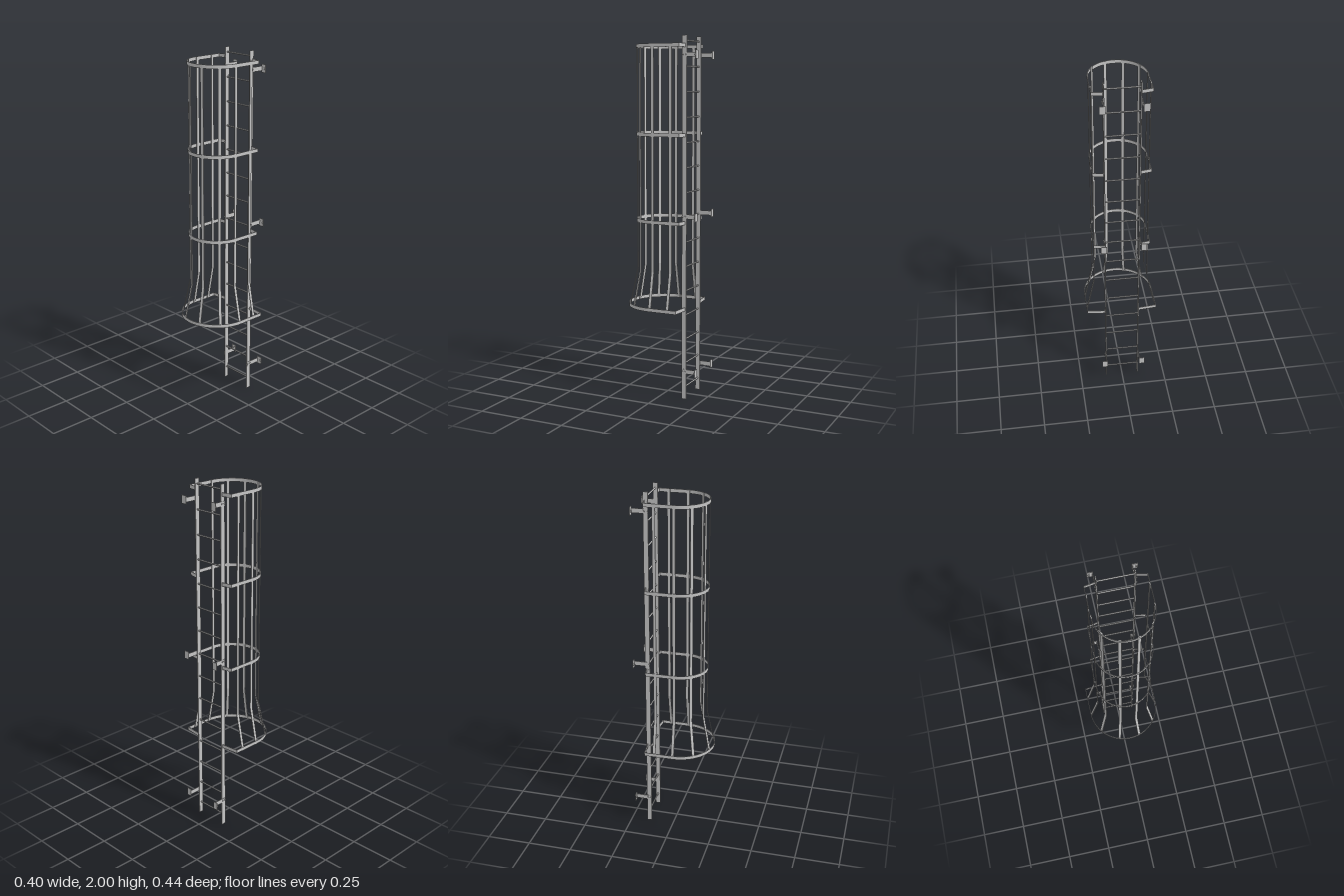
import * as THREE from 'three';

const steel = new THREE.MeshStandardMaterial({ color: 0xc4c4c4 });
steel.name = 'galvanised steel';

const CENTRE_Z = 0.0215; // centre of the hoop arcs
const STRIP = 0.003;     // hoop strip thickness

function add(parent, name, geometry, x = 0, y = 0, z = 0) {
  const mesh = new THREE.Mesh(geometry, steel);
  mesh.name = name;
  mesh.position.set(x, y, z);
  parent.add(mesh);
  return mesh;
}

// U-shaped flat strip whose ends turn in to the rails
function hoopGeometry(radius, height) {
  const contour = (r, cornerZ, endZ) => {
    const pts = [[0.098, endZ], [r, cornerZ]];
    for (let i = 0; i <= 36; i++) {
      const a = (i / 36) * Math.PI;
      pts.push([r * Math.cos(a), CENTRE_Z + r * Math.sin(a)]);
    }
    pts.push([-r, cornerZ], [-0.098, endZ]);
    return pts.map(([x, z]) => new THREE.Vector2(x, z));
  };
  const outer = contour(radius, -0.14, -0.15);
  const inner = contour(radius - STRIP, -0.137, -0.147).reverse();
  const geo = new THREE.ExtrudeGeometry(new THREE.Shape([...outer, ...inner]), { depth: height, bevelEnabled: false });
  geo.rotateX(Math.PI / 2);
  geo.translate(0, height / 2, 0);
  return geo;
}

// Vertical flat bar, flared outwards at its foot
function barGeometry() {
  const width = 0.017, t = 0.004;
  const edge = [[0.196, 0.505], [0.153, 0.715], [0.153, 1.957]];
  const pts = [...edge, ...edge.map(([r, y]) => [r - t, y]).reverse()];
  const shape = new THREE.Shape(pts.map(([r, y]) => new THREE.Vector2(r, y)));
  const geo = new THREE.ExtrudeGeometry(shape, { depth: width, bevelEnabled: false });
  geo.translate(0, 0, -width / 2);
  return geo;
}

export function createModel() {
  const model = new THREE.Group();
  model.name = 'caged ladder';

  // Ladder: two flat rails and round rungs
  const ladder = new THREE.Group();
  ladder.name = 'ladder';
  model.add(ladder);
  for (const s of [-1, 1]) add(ladder, 'rail', new THREE.BoxGeometry(0.006, 2, 0.027), s * 0.0945, 1, -0.1435);
  const rung = new THREE.CylinderGeometry(0.0045, 0.0045, 0.195, 12).rotateZ(Math.PI / 2);
  for (let i = 0; i < 15; i++) add(ladder, 'rung', rung, 0, 0.068 + i * 0.136, -0.1435);

  // Safety cage: hoops, bars and hoop bolts
  const cage = new THREE.Group();
  cage.name = 'cage';
  model.add(cage);
  const sideBolt = new THREE.CylinderGeometry(0.004, 0.004, 0.005, 6).rotateZ(Math.PI / 2);
  [[0.513, 0.2], [0.993, 0.156], [1.47, 0.156], [1.947, 0.156]].forEach(([y, r]) => {
    add(cage, 'hoop', hoopGeometry(r, 0.02), 0, y, 0);
    for (const s of [-1, 1]) add(cage, 'hoopBolt', sideBolt, s * 0.1, y, -0.135);
  });
  const bar = barGeometry();
  for (let i = 0; i <= 5; i++) add(cage, 'cageBar', bar, 0, 0, CENTRE_Z).rotation.y = -i * Math.PI / 5;
  for (const a of [0, Math.PI]) add(cage, 'sideCageBar', bar, 0, 0, -0.0855).rotation.y = a;

  // Wall brackets: arm, plate and bolts on both rails
  const wallBolt = new THREE.CylinderGeometry(0.006, 0.006, 0.005, 6).rotateX(Math.PI / 2);
  for (const y of [0.159, 1.028, 1.898]) {
    for (const s of [-1, 1]) {
      const bracket = new THREE.Group();
      bracket.name = 'wallBracket';
      bracket.position.y = y;
      model.add(bracket);
      add(bracket, 'bracketArm', new THREE.BoxGeometry(0.004, 0.025, 0.09), s * 0.0975, 0, -0.1755);
      add(bracket, 'wallPlate', new THREE.BoxGeometry(0.032, 0.045, 0.004), s * 0.11, 0, -0.2205);
      add(bracket, 'wallBolt', wallBolt, s * 0.118, 0, -0.2165);
      for (const z of [-0.135, -0.151]) add(bracket, 'railBolt', sideBolt, s * 0.1015, 0, z);
    }
  }
  return model;
}
